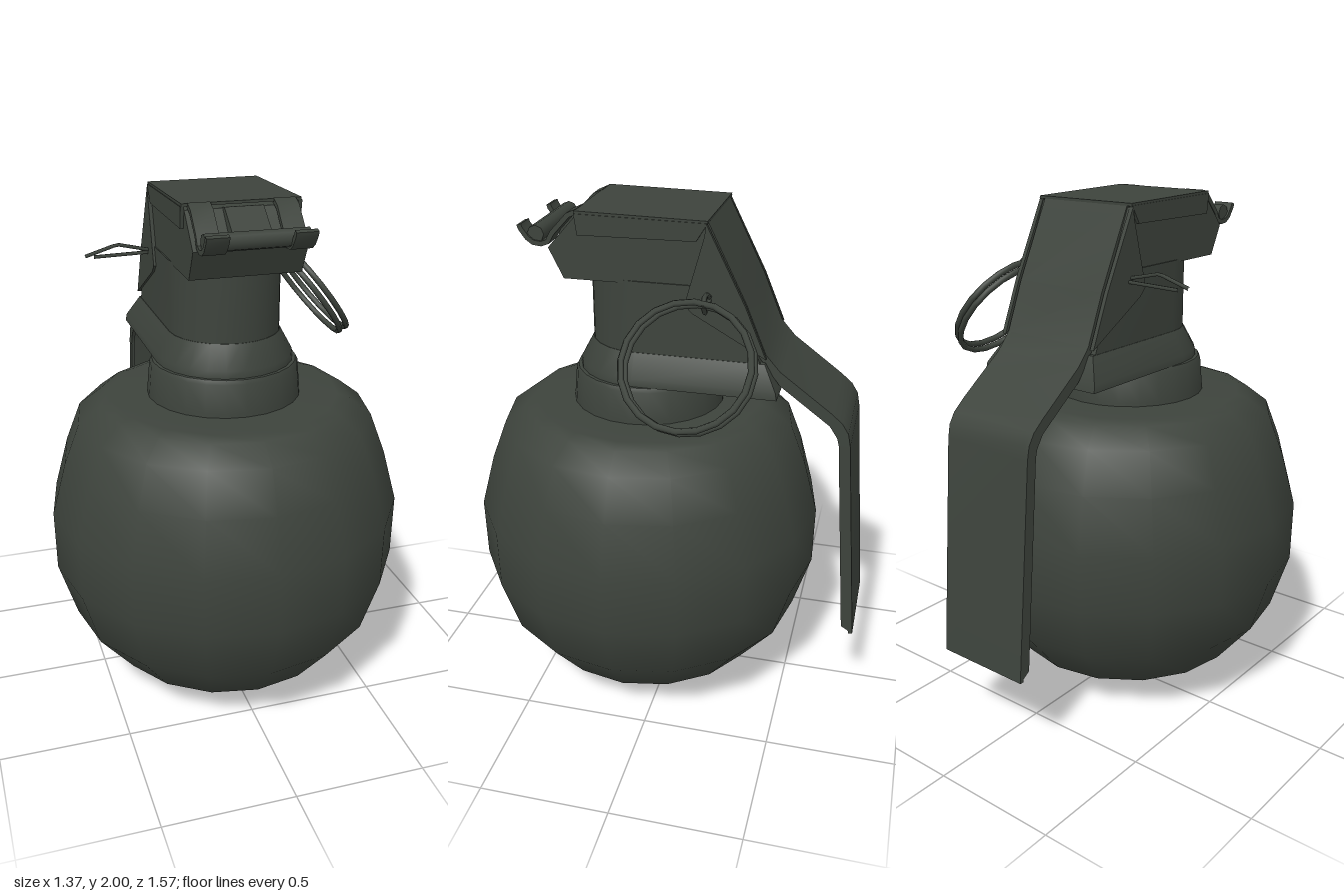
import * as THREE from 'three';
import { toCreasedNormals } from 'three/addons/utils/BufferGeometryUtils.js';

const CZ = 0.1; // axis of the round body

export function createModel() {
  const model = new THREE.Group();
  const olive = new THREE.MeshStandardMaterial({ color: 0x3d433c });
  olive.name = 'darkOlive';

  const add = (name, geometry, x = 0, y = 0, z = 0) => {
    const mesh = new THREE.Mesh(geometry, olive);
    mesh.name = name;
    mesh.position.set(x, y, z);
    model.add(mesh);
    return mesh;
  };
  const lathe = (name, pts, sides) =>
    add(name, toCreasedNormals(new THREE.LatheGeometry(pts.map(p => new THREE.Vector2(...p)), sides), 0.7), 0, 0, CZ);

  // Side profile of [z, y] points, extruded across x about its centre
  const across = (name, pts, width, x = 0) => {
    const shape = new THREE.Shape(pts.map(p => new THREE.Vector2(...p)));
    const g = new THREE.ExtrudeGeometry(shape, { depth: width, bevelEnabled: false });
    g.translate(0, 0, -width / 2).rotateY(-Math.PI / 2);
    return add(name, toCreasedNormals(g, 0.6), x);
  };
  // Bent sheet: thickens a [z, y] path to its left-hand side
  const sheet = (name, path, t, width, x = 0) => {
    const inner = path.map((p, i) => {
      const a = path[Math.max(i - 1, 0)], b = path[Math.min(i + 1, path.length - 1)];
      const dz = b[0] - a[0], dy = b[1] - a[1], l = Math.hypot(dz, dy);
      return [p[0] - dy / l * t, p[1] + dz / l * t];
    });
    return across(name, [...path, ...inner.reverse()], width, x);
  };
  // Loft of D-shaped sections: round front, straight sides, flat back
  const loft = (name, sections) => {
    const rings = sections.map(([y, r, back]) => {
      const ring = [];
      for (let i = 0; i <= 12; i++) {
        const a = Math.PI * i / 12;
        ring.push([r * Math.cos(a), y, CZ + r * Math.sin(a)]);
      }
      ring.push([-r, y, back], [r, y, back]);
      return ring;
    });
    const n = rings[0].length, index = [], top = (rings.length - 1) * n;
    for (let k = 0; k < rings.length - 1; k++) {
      for (let i = 0; i < n; i++) {
        const a = k * n + i, b = k * n + (i + 1) % n;
        index.push(a, a + n, b, a + n, b + n, b);
      }
    }
    for (let i = 1; i < n - 1; i++) index.push(0, i, i + 1, top, top + i + 1, top + i);
    const g = new THREE.BufferGeometry();
    g.setAttribute('position', new THREE.Float32BufferAttribute(rings.flat(2), 3));
    g.setIndex(index);
    return add(name, toCreasedNormals(g, 0.6));
  };
  const wire = (name, pts, r) => {
    const path = new THREE.CurvePath();
    const v = pts.map(p => new THREE.Vector3(...p));
    for (let i = 1; i < v.length; i++) path.add(new THREE.LineCurve3(v[i - 1], v[i]));
    return add(name, new THREE.TubeGeometry(path, 12, r, 6));
  };

  // Round body, smooth all over
  const profile = [[0, 0.005], [0.26, 0.042], [0.466, 0.153], [0.614, 0.337], [0.683, 0.56], [0.686, 0.797],
    [0.63, 1.0], [0.57, 1.155], [0.485, 1.22], [0.44, 1.235], [0.27, 1.237]];
  add('body', new THREE.LatheGeometry(profile.map(p => new THREE.Vector2(...p)), 16), 0, 0, CZ);

  // Collar ring
  lathe('collar', [[0.295, 1.22], [0.293, 1.25], [0.283, 1.36], [0.275, 1.375], [0, 1.378]], 24);

  // Flared bracket and neck running back under the lever
  loft('bracket', [[1.375, 0.262, -0.44], [1.402, 0.26, -0.435], [1.49, 0.212, -0.385]]);
  loft('neck', [[1.485, 0.21, -0.37], [1.76, 0.21, -0.26]]);

  // Head block
  across('head', [[0.36, 1.75], [0.415, 1.86], [0.31, 1.978], [-0.165, 1.978], [-0.265, 1.75]], 0.41);

  // Cap plate with turned-down edges
  sheet('capPlate', [[-0.17, 1.983], [0.31, 1.99]], 0.01, 0.43);
  for (const s of [-1, 1]) {
    across('capEdge', [[0.31, 1.99], [0.3, 1.915], [-0.13, 1.92], [-0.17, 1.985]], 0.014, s * 0.211);
  }

  // Lever: bent sheet with side edges folded inwards
  const outer = [[-0.165, 1.99], [-0.31, 1.7], [-0.385, 1.52], [-0.44, 1.458], [-0.63, 1.318],
    [-0.675, 1.28], [-0.7, 1.24], [-0.71, 1.19], [-0.782, 0.36]];
  sheet('lever', outer, 0.016, 0.385);
  for (const s of [-1, 1]) {
    across('leverEdge', [...outer.slice(2), [-0.735, 0.39], [-0.668, 1.19], [-0.66, 1.22], [-0.63, 1.265],
      [-0.44, 1.405], [-0.36, 1.51]], 0.014, s * 0.186);
    across('leverCheek', [[-0.165, 1.985], [-0.16, 1.94], [-0.09, 1.69], [-0.12, 1.66], [-0.39, 1.51],
      [-0.31, 1.7]], 0.016, s * 0.211);
    // Hinge arms curling forward at the front
    sheet('hingeArm', [[0.3, 1.985], [0.335, 1.97], [0.395, 1.905], [0.415, 1.87], [0.445, 1.858], [0.48, 1.862],
      [0.505, 1.88], [0.53, 1.915], [0.535, 1.93]], 0.018, 0.08, s * 0.153);
  }

  // Hinge bar and latch block between the arms
  const bar = add('hingeBar', new THREE.CylinderGeometry(0.032, 0.032, 0.37, 8), 0, 1.9, 0.468);
  bar.rotation.z = Math.PI / 2;
  across('latch', [[0.3, 1.98], [0.33, 1.985], [0.44, 1.9], [0.41, 1.86]], 0.14);

  // Safety pin with spread legs
  const PY = 1.722, PZ = -0.18;
  wire('pinShaft', [[-0.2, PY, PZ], [0.22, PY, PZ]], 0.014);
  wire('pinStraightLeg', [[-0.2, PY, PZ - 0.006], [-0.43, 1.717, PZ - 0.006]], 0.007);
  wire('pinBentLeg', [[-0.2, 1.73, PZ + 0.006], [-0.34, 1.762, PZ + 0.006], [-0.465, 1.724, PZ + 0.006]], 0.007);
  wire('pinEyeTop', [[0.21, PY, PZ], [0.26, 1.75, PZ], [0.3, 1.752, PZ], [0.315, 1.725, PZ]], 0.009);
  wire('pinEyeBottom', [[0.21, PY, PZ], [0.25, 1.7, PZ], [0.29, 1.692, PZ], [0.315, 1.725, PZ]], 0.009);

  // Double pull ring hanging outwards at a slant
  for (const s of [-1, 1]) {
    const g = new THREE.TorusGeometry(0.228, 0.012, 6, 20);
    g.rotateY(Math.PI / 2).rotateZ(0.64);
    add('pullRing', g, 0.432 + s * 0.012, 1.545 + s * 0.009, -0.152 + s * 0.004);
  }
  return model;
}
